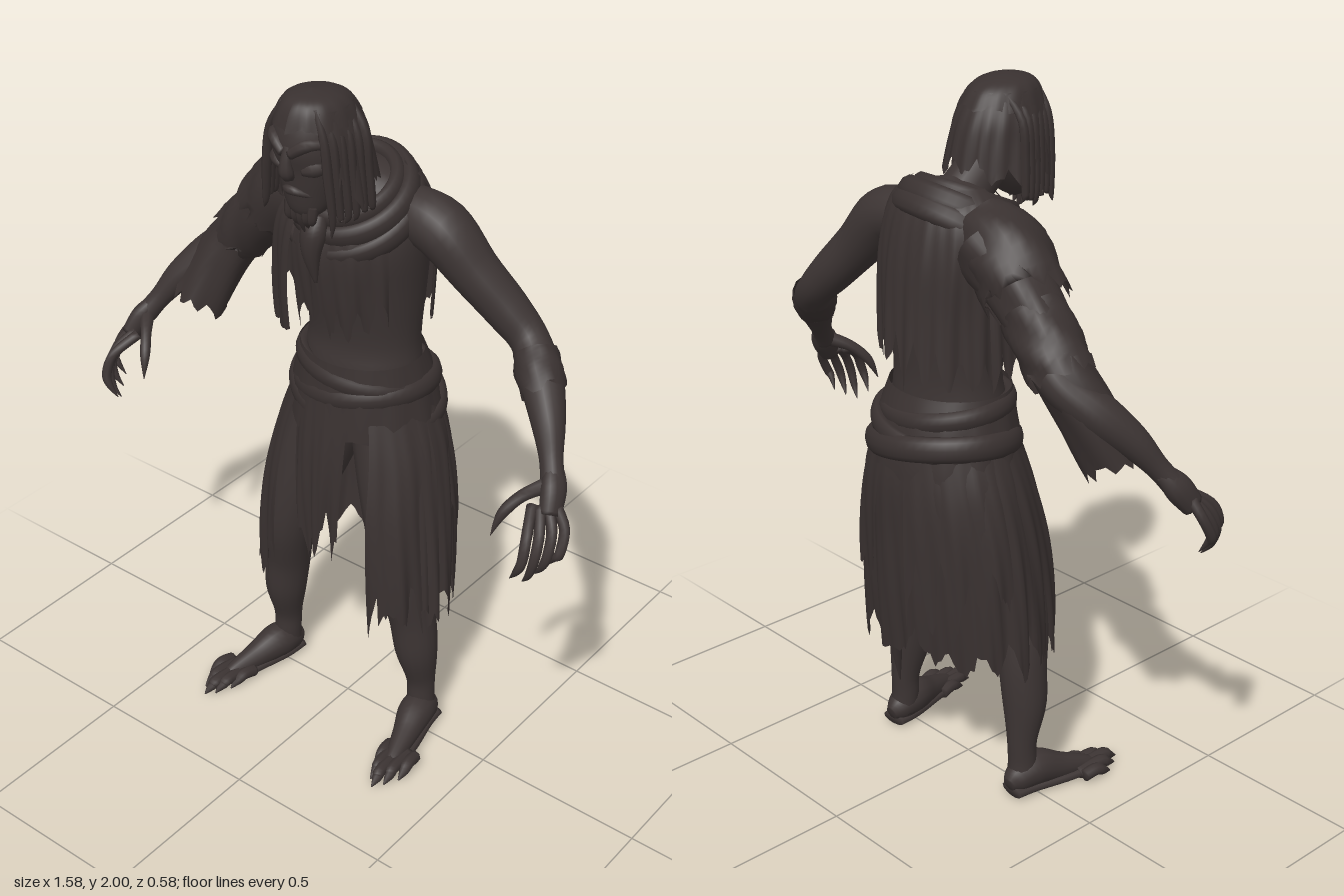
import * as THREE from 'three';

const skin = new THREE.MeshStandardMaterial({ color: 0x3c3433 });
skin.name = 'dark skin';
const rag = new THREE.MeshStandardMaterial({ color: 0x393130, side: THREE.DoubleSide });
rag.name = 'dark rags';
const V = (x, y, z) => new THREE.Vector3(x, y, z);

let seed = 7;
const rand = () => (seed = (seed * 16807) % 2147483647) / 2147483647;

// Skin a grid of points; closed rows wrap around.
function surface(rows, closed) {
  const n = rows[0].length, idx = [], m = closed ? n : n - 1;
  for (let i = 0; i < rows.length - 1; i++) for (let j = 0; j < m; j++) {
    const k = (j + 1) % n, a = i * n + j, b = i * n + k, c = a + n, d = b + n;
    idx.push(a, b, d, a, d, c);
  }
  const g = new THREE.BufferGeometry().setFromPoints(rows.flat());
  g.setIndex(idx);
  g.computeVertexNormals();
  return g;
}

// Smooth interpolation through rows of numbers.
function sample(pts, t) {
  const f = Math.min(Math.max(t, 0), 1) * (pts.length - 1);
  const i = Math.min(Math.floor(f), pts.length - 2), u = f - i;
  const at = q => pts[Math.min(Math.max(q, 0), pts.length - 1)];
  return pts[i].map((p, k) => {
    const q = at(i + 1)[k], m0 = (q - at(i - 1)[k]) / 2, m1 = (at(i + 2)[k] - p) / 2;
    return p + u * (m0 + u * (3 * (q - p) - 2 * m0 - m1 + u * (2 * (p - q) + m0 + m1)));
  });
}

// Tapered tube through [x, y, z, radius]; jag > 0 leaves ragged open ends.
function limb(pts, { n = 12, steps = 5, wide = 1, ref = V(0, 0, 1), jag = 0, fold = 0 } = {}) {
  const count = (pts.length - 1) * steps, rows = [];
  const frame = t => {
    const p = V(...sample(pts, t));
    const T = V(...sample(pts, Math.min(t + 0.01, 1))).sub(V(...sample(pts, Math.max(t - 0.01, 0)))).normalize();
    const N = ref.clone().addScaledVector(T, -T.dot(ref)).normalize();
    return { p, T, N, B: T.clone().cross(N) };
  };
  for (let i = 0; i <= count; i++) {
    const t = i / count, { p, T, N, B } = frame(t), r = Math.max(sample(pts, t)[3], 0.001), row = [];
    for (let j = 0; j < n; j++) {
      const a = j / n * Math.PI * 2, q = r * (1 + fold * Math.sin(a * 5 + t * 9));
      const slip = i === count ? (rand() - 0.5) * jag : 0;
      row.push(p.clone().addScaledVector(N, Math.cos(a) * q).addScaledVector(B, Math.sin(a) * q * wide).addScaledVector(T, slip));
    }
    rows.push(row);
  }
  if (!jag) {
    const cap = t => { const { p } = frame(t); return Array.from({ length: n }, () => p.clone()); };
    rows.unshift(cap(0));
    rows.push(cap(1));
  }
  return surface(rows, true);
}

// Horizontal ellipses [y, cx, cz, rx, rz], listed bottom to top.
function body(pts, n = 28, steps = 4) {
  const rows = [], count = (pts.length - 1) * steps;
  for (let i = 0; i <= count; i++) {
    const [y, cx, cz, rx, rz] = sample(pts, i / count);
    rows.push(Array.from({ length: n }, (_, j) => {
      const a = j / n * Math.PI * 2;
      return V(cx + Math.sin(a) * rx, y, cz + Math.cos(a) * rz);
    }));
  }
  return surface(rows, true);
}

// Hanging cloth, profile listed top to bottom; degrees run front 0, left 90, back 180, right 270.
// The hem is cut into broad torn points with a little fine fraying.
function cloth(pts, from, to, { n = 60, jag = 0.25, fold = 0.03, waves = 13, steps = 18 } = {}) {
  const tears = Array.from({ length: Math.ceil(n / 4) + 2 }, (_, i) => (i % 2 ? 0.45 : 0) + 0.55 * rand());
  const cut = Array.from({ length: n + 1 }, (_, j) => {
    const i = Math.floor(j / 4), u = j / 4 - i;
    return 1 - jag * (0.85 * (tears[i] * (1 - u) + tears[i + 1] * u) + 0.15 * rand());
  });
  const rows = [];
  for (let i = steps; i >= 0; i--) rows.push(cut.map((c, j) => {
    const v = i / steps * c, a = (from + (to - from) * j / n) * Math.PI / 180;
    const [y, cx, cz, rx, rz] = sample(pts, v);
    const f = 1 + fold * v * (Math.sin(a * waves + v * 2) + 0.6 * Math.sin(a * waves * 2.3 - v * 4));
    return V(cx + Math.sin(a) * rx * f, y, cz + Math.cos(a) * rz * f);
  }));
  return surface(rows, false);
}

export function createModel() {
  seed = 7;
  const model = new THREE.Group();
  model.name = 'ragged figure';
  const add = (name, geo, mat = skin) => {
    const m = new THREE.Mesh(geo, mat);
    m.name = name;
    model.add(m);
    return m;
  };
  // Twisted elliptical roll of cloth.
  const roll = (name, x, y, z, rx, rz, tube, tiltX, tiltZ) => {
    const g = new THREE.TorusGeometry(1, tube / rx, 10, 48).rotateX(Math.PI / 2);
    g.scale(rx, rx * 1.5, rz);
    const m = add(name, g, rag);
    m.position.set(x, y, z);
    m.rotation.set(tiltX, 0, tiltZ);
  };

  // Torso and neck
  add('torso', body([[0.94, 0, -0.07, 0.01, 0.01], [0.98, 0, -0.07, 0.18, 0.13], [1.15, 0, -0.07, 0.175, 0.135], [1.25, 0, -0.075, 0.165, 0.128],
    [1.4, 0, -0.07, 0.178, 0.148], [1.55, 0, -0.06, 0.195, 0.16], [1.65, 0, -0.075, 0.19, 0.13], [1.72, 0, -0.07, 0.13, 0.09], [1.76, 0, -0.05, 0.01, 0.01]]));
  add('neck', limb([[0, 1.62, -0.08, 0.09], [0, 1.72, 0, 0.07], [0, 1.8, 0.1, 0.065]]));

  // Head and face
  add('head', body([[1.665, 0, 0.165, 0.005, 0.005], [1.69, 0, 0.16, 0.05, 0.045], [1.75, 0, 0.14, 0.078, 0.08], [1.81, 0, 0.13, 0.096, 0.1],
    [1.87, 0, 0.125, 0.104, 0.118], [1.94, 0, 0.12, 0.092, 0.106], [1.98, 0, 0.125, 0.055, 0.065], [1.99, 0, 0.13, 0.002, 0.002]]));
  add('nose', limb([[0, 1.88, 0.235, 0.01], [0, 1.84, 0.243, 0.015], [0, 1.81, 0.24, 0.019], [0, 1.795, 0.22, 0.012]], { n: 8 }));
  add('mouth', limb([[-0.045, 1.745, 0.195, 0.007], [0, 1.76, 0.226, 0.012], [0.045, 1.745, 0.195, 0.007]], { n: 8 }));
  for (const s of [-1, 1]) {
    add('brow', limb([[0.01 * s, 1.862, 0.24, 0.013], [0.05 * s, 1.89, 0.225, 0.016], [0.088 * s, 1.89, 0.18, 0.01]], { n: 8 }));
    add('cheek', limb([[0.03 * s, 1.815, 0.218, 0.012], [0.06 * s, 1.825, 0.2, 0.022], [0.088 * s, 1.83, 0.15, 0.012]], { n: 8 }));
  }

  // Hair: crown, long back sheet and loose locks
  add('hairCrown', cloth([[2, 0, 0.14, 0.002, 0.002], [1.99, 0, 0.135, 0.055, 0.062], [1.965, 0, 0.125, 0.085, 0.1], [1.91, 0, 0.118, 0.108, 0.128]], 0, 360, { jag: 0.2, fold: 0.015 }), rag);
  add('hairBack', cloth([[1.965, 0, 0.125, 0.085, 0.1], [1.9, 0, 0.115, 0.111, 0.126], [1.83, 0, 0.11, 0.122, 0.142], [1.7, 0, 0.1, 0.14, 0.155]], 48, 312, { jag: 0.3, fold: 0.035, waves: 17 }), rag);
  for (const s of [-1, 1]) for (let i = 0; i < 6; i++) {
    const z = 0.2 - i * 0.024, w = 0.085 + i * 0.006, end = 1.62 + rand() * 0.08 + i * 0.012;
    add('hairLock', limb([[0.05 * s, 1.972, z - 0.01, 0.008], [w * s, 1.9, z, 0.013], [(w + 0.013) * s, 1.8, z, 0.015],
      [(w + 0.022) * s, 1.7, z - 0.005, 0.011], [(w + 0.01 + rand() * 0.02) * s, end, z - 0.005, 0.002]], { n: 6, wide: 0.8 }), rag);
  }
  for (let i = -2; i <= 2; i++)
    add('beardLock', limb([[i * 0.018, 1.71, 0.185, 0.016], [i * 0.018, 1.67, 0.19, 0.012], [i * 0.014, 1.625 + Math.abs(i) * 0.015, 0.175, 0.002]], { n: 6 }), rag);

  for (const s of [-1, 1]) {
    // Arms
    const P = list => list.map(([x, ...r]) => [x * s, ...r]);
    add('arm', limb(P([[0.13, 1.63, -0.08, 0.07], [0.235, 1.605, -0.085, 0.079], [0.33, 1.505, -0.105, 0.067], [0.415, 1.415, -0.13, 0.06], [0.487, 1.345, -0.135, 0.052],
      [0.56, 1.28, -0.085, 0.057], [0.625, 1.21, -0.025, 0.045], [0.67, 1.14, 0.022, 0.031], [0.7, 1.09, 0.055, 0.032]]), { n: 16 }));
    add('palm', limb(P([[0.682, 1.13, 0.025, 0.025], [0.707, 1.085, 0.06, 0.04], [0.725, 1.03, 0.1, 0.034]]), { wide: 0.75 }));
    // Clawed fingers and thumb
    for (let i = 0; i < 4; i++) {
      const x = 0.747 - i * 0.018, z = 0.06 + i * 0.03, y = 0.91 - [0, 0.02, 0.035, 0.015][i];
      add('finger', limb(P([[x - 0.012, 1.05, 0.085 + i * 0.01, 0.015], [x + 0.02, 1.005, z + 0.035, 0.014], [x + 0.028, 0.95, z + 0.062, 0.014],
        [x + 0.015, y + 0.02, z + 0.066, 0.01], [x - 0.008, y - 0.015, z + 0.058, 0.001]]), { n: 8, steps: 4 }));
    }
    add('thumb', limb(P([[0.69, 1.09, 0.065, 0.022], [0.648, 1.065, 0.115, 0.016], [0.618, 1.02, 0.155, 0.014], [0.603, 0.96, 0.18, 0.001]]), { n: 8 }));

    // Legs
    add('leg', limb(P([[0.09, 0.99, -0.07, 0.11], [0.14, 0.82, -0.035, 0.107], [0.178, 0.67, 0, 0.09], [0.205, 0.54, 0.015, 0.076], [0.23, 0.4, -0.005, 0.068],
      [0.245, 0.28, -0.01, 0.062], [0.252, 0.17, -0.025, 0.043], [0.254, 0.1, -0.025, 0.041], [0.258, 0.04, -0.03, 0.042]]), { n: 16 }));
    // Feet with clawed toes
    add('foot', limb(P([[0.257, 0.04, -0.08, 0.02], [0.257, 0.05, -0.05, 0.042], [0.264, 0.065, 0.01, 0.054], [0.285, 0.045, 0.09, 0.04], [0.305, 0.028, 0.17, 0.026], [0.31, 0.022, 0.2, 0.018]]),
      { n: 14, ref: V(0, 1, 0), wide: 0.95 }));
    add('footSole', limb(P([[0.258, 0.018, -0.07, 0.017], [0.265, 0.018, 0, 0.018], [0.29, 0.018, 0.1, 0.018], [0.308, 0.018, 0.19, 0.017]]), { ref: V(0, 1, 0), wide: 2.4 }));
    for (let i = 0; i < 5; i++) {
      const x = 0.262 + i * 0.022, tip = [0.225, 0.27, 0.293, 0.265, 0.225][i];
      add('toe', limb(P([[x, 0.022, 0.13, 0.018], [x + 0.006, 0.03, tip - 0.055, 0.018], [x + 0.01, 0.02, tip - 0.03, 0.015], [x + 0.012, 0.006, tip, 0.002]]),
        { n: 8, ref: V(0, 1, 0) }));
    }
  }
  // Torn binding on the bare forearm
  add('armBinding', limb([[0.515, 1.325, -0.12, 0.058], [0.545, 1.295, -0.095, 0.063], [0.58, 1.26, -0.068, 0.06]], { n: 18, jag: 0.03, fold: 0.04 }), rag);

  // Sleeve and shoulder layers on the right side
  add('sleeve', limb([[-0.17, 1.62, -0.085, 0.1], [-0.28, 1.55, -0.09, 0.09], [-0.38, 1.455, -0.1, 0.08], [-0.46, 1.37, -0.11, 0.075],
    [-0.52, 1.275, -0.08, 0.078], [-0.565, 1.145, -0.03, 0.08]], { n: 32, jag: 0.05, fold: 0.05 }), rag);
  add('shoulderRag', limb([[-0.12, 1.665, -0.07, 0.08], [-0.22, 1.605, -0.07, 0.11], [-0.305, 1.515, -0.08, 0.108]], { n: 32, jag: 0.1, fold: 0.05 }), rag);
  add('elbowRag', limb([[-0.34, 1.49, -0.095, 0.087], [-0.41, 1.42, -0.105, 0.088], [-0.46, 1.365, -0.11, 0.086]], { n: 28, jag: 0.07, fold: 0.05 }), rag);

  // Torn shirt: back sheet, right drape and chest flap
  add('backDrape', cloth([[1.75, 0, -0.06, 0.12, 0.08], [1.69, 0, -0.065, 0.185, 0.13], [1.58, 0, -0.06, 0.208, 0.168], [1.42, 0, -0.06, 0.2, 0.185], [1.22, -0.01, -0.06, 0.195, 0.2]],
    112, 275, { jag: 0.22, n: 70 }), rag);
  add('sideDrape', cloth([[1.72, 0, -0.04, 0.13, 0.08], [1.6, 0, -0.04, 0.215, 0.175], [1.42, -0.015, -0.045, 0.225, 0.19], [1.22, -0.02, -0.05, 0.23, 0.17]],
    245, 338, { jag: 0.25, n: 45, fold: 0.04 }), rag);
  add('chestFlap', cloth([[1.68, 0, -0.04, 0.15, 0.13], [1.56, 0, -0.04, 0.185, 0.172], [1.42, 0, -0.045, 0.185, 0.17], [1.26, 0, -0.05, 0.175, 0.15]],
    -30, 62, { jag: 0.5, n: 40, fold: 0.04 }), rag);

  // Cowl around the neck
  roll('cowlInner', 0, 1.69, -0.01, 0.125, 0.125, 0.022, 0.42, 0);
  roll('cowlMiddle', 0, 1.66, -0.025, 0.155, 0.15, 0.025, 0.5, 0.03);
  roll('cowlOuter', -0.005, 1.62, -0.035, 0.178, 0.168, 0.022, 0.55, 0.06);
  add('neckKnot', limb([[0, 1.65, 0.12, 0.02], [0, 1.61, 0.14, 0.03], [0, 1.55, 0.15, 0.022], [0.01, 1.47, 0.145, 0.004]], { wide: 1.2 }), rag);

  // Waist wraps
  add('waistCloth', cloth([[1.2, 0, -0.065, 0.178, 0.155], [1.12, 0, -0.075, 0.2, 0.175], [1.02, 0, -0.08, 0.222, 0.19], [0.95, 0, -0.08, 0.235, 0.195]], 0, 360, { jag: 0.3, fold: 0.02 }), rag);
  roll('waistWrapHigh', 0, 1.14, -0.075, 0.18, 0.16, 0.02, -0.08, -0.12);
  roll('waistWrapMiddle', 0, 1.085, -0.085, 0.193, 0.173, 0.022, -0.05, 0.16);
  roll('waistWrapLow', 0, 1.04, -0.09, 0.208, 0.18, 0.024, 0.12, -0.18);

  // Skirt open at the front, with layered torn panels
  add('skirt', cloth([[1.08, 0, -0.08, 0.2, 0.17], [0.95, 0, -0.08, 0.25, 0.195], [0.78, 0, -0.065, 0.28, 0.208], [0.58, 0, -0.055, 0.297, 0.21], [0.36, 0, -0.05, 0.305, 0.195]],
    39, 321, { n: 110, jag: 0.22, fold: 0.035, waves: 15 }), rag);
  for (const [from, to, low] of [[95, 165, 0.52], [190, 262, 0.48]])
    add('backPanel', cloth([[1.06, 0, -0.08, 0.21, 0.182], [0.92, 0, -0.08, 0.257, 0.2], [0.75, 0, -0.07, 0.287, 0.212], [low, 0, -0.06, 0.302, 0.212]],
      from, to, { n: 36, jag: 0.4, fold: 0.03 }), rag);
  for (const [from, to] of [[36, 86], [274, 324]])
    add('hipPanel', cloth([[1.07, 0, -0.08, 0.205, 0.178], [0.92, 0, -0.07, 0.257, 0.21], [0.75, 0, -0.055, 0.285, 0.235], [0.55, 0, -0.045, 0.303, 0.235], [0.35, 0, -0.04, 0.308, 0.215]],
      from, to, { n: 32, jag: 0.28, fold: 0.035 }), rag);
  add('frontFlap', cloth([[1.08, 0, -0.07, 0.2, 0.175], [0.9, -0.005, -0.06, 0.2, 0.185], [0.7, -0.015, -0.05, 0.18, 0.175], [0.44, -0.03, -0.05, 0.14, 0.15]],
    -32, 22, { n: 26, jag: 0.4, fold: 0.05, waves: 16 }), rag);
  // Long torn strip at the back
  add('tatter', limb([[0.066, 0.62, -0.235, 0.03], [0.07, 0.45, -0.215, 0.026], [0.07, 0.29, -0.2, 0.002]], { n: 8, wide: 0.5 }), rag);

  // Stand on the ground
  const box = new THREE.Box3().setFromObject(model);
  model.position.y = -box.min.y;
  return model;
}
